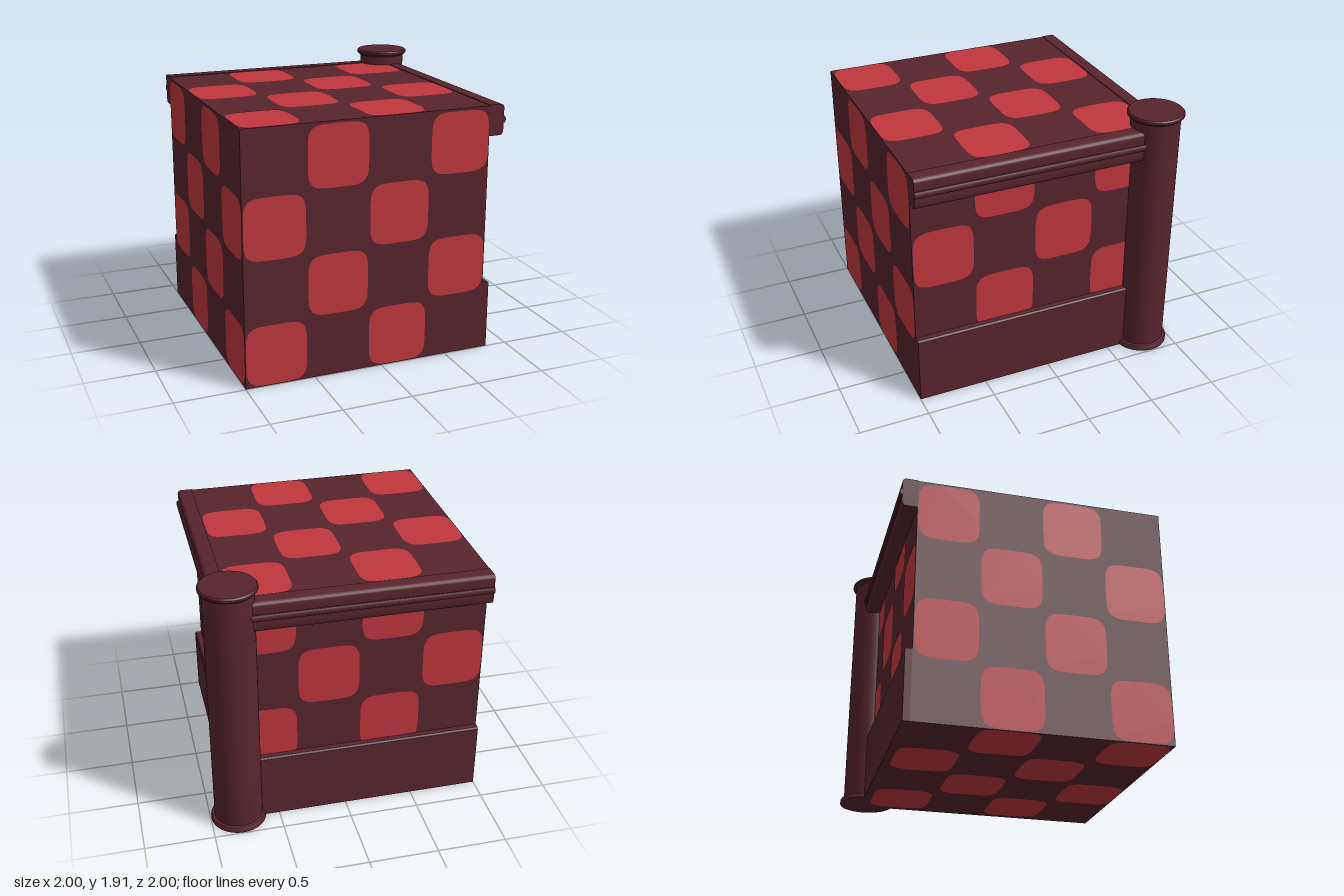
import * as THREE from 'three';
import { toCreasedNormals } from 'three/addons/utils/BufferGeometryUtils.js';

const MIN = -1, MAX = 0.79, SIZE = MAX - MIN, CELL = SIZE / 4;
const HEIGHT = 1.8;

export function createModel() {
  const group = new THREE.Group();
  const maroon = new THREE.MeshStandardMaterial({ name: 'dark maroon', color: 0x58242e });
  const red = new THREE.MeshStandardMaterial({ name: 'bright red', color: 0xc0373d });

  const add = (name, geometry, material, parent = group) => {
    const mesh = new THREE.Mesh(geometry, material);
    mesh.name = name;
    parent.add(mesh);
    return mesh;
  };

  // Main block
  const block = add('block', new THREE.BoxGeometry(SIZE, HEIGHT, SIZE), maroon);
  const centre = (MIN + MAX) / 2;
  block.position.set(centre, HEIGHT / 2, -centre);

  // Rounded-square patch outline
  const outline = [];
  for (let i = 0; i < 48; i++) {
    const a = (i / 48) * Math.PI * 2, c = Math.cos(a), s = Math.sin(a);
    const r = 0.217 / Math.pow(Math.abs(c) ** 5 + Math.abs(s) ** 5, 1 / 5);
    outline.push(new THREE.Vector2(c * r, s * r));
  }
  const patch = new THREE.ShapeGeometry(new THREE.Shape(outline));

  // Chequered patches on all six faces; cells count from the left, bottom and front
  const rotations = {
    front: [0, 0], back: [0, Math.PI],
    right: [0, Math.PI / 2], left: [0, -Math.PI / 2],
    top: [-Math.PI / 2, 0], bottom: [Math.PI / 2, 0],
  };
  const gap = 0.002;
  const at = (i) => (i + 0.5) * CELL;
  const places = {
    front: (i, j) => [MIN + at(i), at(j), 1 + gap],
    back: (i, j) => [MIN + at(i), at(j), -MAX - gap],
    right: (i, j) => [MAX + gap, at(j), 1 - at(i)],
    left: (i, j) => [MIN - gap, at(j), 1 - at(i)],
    top: (i, j) => [MIN + at(i), HEIGHT + gap, 1 - at(j)],
    bottom: (i, j) => [MIN + at(i), -gap, 1 - at(j)],
  };
  for (const side of Object.keys(places)) {
    const panel = new THREE.Group();
    panel.name = side + 'Patches';
    group.add(panel);
    for (let i = 0; i < 4; i++) {
      for (let j = i % 2; j < 4; j += 2) {
        const mesh = add('patch', patch, red, panel);
        mesh.position.set(...places[side](i, j));
        mesh.rotation.set(rotations[side][0], rotations[side][1], 0);
      }
    }
  }

  // Trim profiles: distance out from the wall, height
  const plinth = new THREE.Shape();
  plinth.moveTo(0, 0);
  plinth.lineTo(0.05, 0);
  plinth.lineTo(0.05, 0.495);
  plinth.lineTo(0.04, 0.507);
  plinth.lineTo(0, 0.507);

  const cornice = new THREE.Shape();
  cornice.moveTo(0, 1.586);
  cornice.lineTo(0.085, 1.586);
  cornice.quadraticCurveTo(0.105, 1.59, 0.107, 1.615);
  cornice.lineTo(0.112, 1.64);
  cornice.lineTo(0.108, 1.672);
  cornice.lineTo(0.118, 1.672);
  cornice.quadraticCurveTo(0.134, 1.695, 0.118, 1.718);
  cornice.lineTo(0.108, 1.718);
  cornice.lineTo(0.11, 1.775);
  cornice.quadraticCurveTo(0.108, 1.802, 0.085, 1.805);
  cornice.lineTo(0, 1.805);

  // Each trim runs along the right and back walls into the column
  for (const [name, shape] of [['Plinth', plinth], ['Cornice', cornice]]) {
    const geometry = toCreasedNormals(new THREE.ExtrudeGeometry(shape, {
      depth: SIZE, bevelEnabled: false, curveSegments: 6,
    }), 0.5);
    add('right' + name, geometry, maroon).position.set(MAX, 0, -MAX);
    const back = add('back' + name, geometry, maroon);
    back.rotation.y = Math.PI / 2;
    back.position.set(MIN, 0, -MAX);
  }

  // Corner column with rounded base and cap
  const profile = [
    [0, 0], [0.2, 0], [0.2, 0.025], [0.193, 0.036], [0.174, 0.04],
    [0.174, 1.868], [0.19, 1.875], [0.199, 1.885], [0.199, 1.9], [0.19, 1.91], [0, 1.91],
  ].map(([r, y]) => new THREE.Vector2(r, y));
  const column = add('column', toCreasedNormals(new THREE.LatheGeometry(profile, 48), 0.6), maroon);
  column.position.set(0.795, 0, -0.798);

  return group;
}
